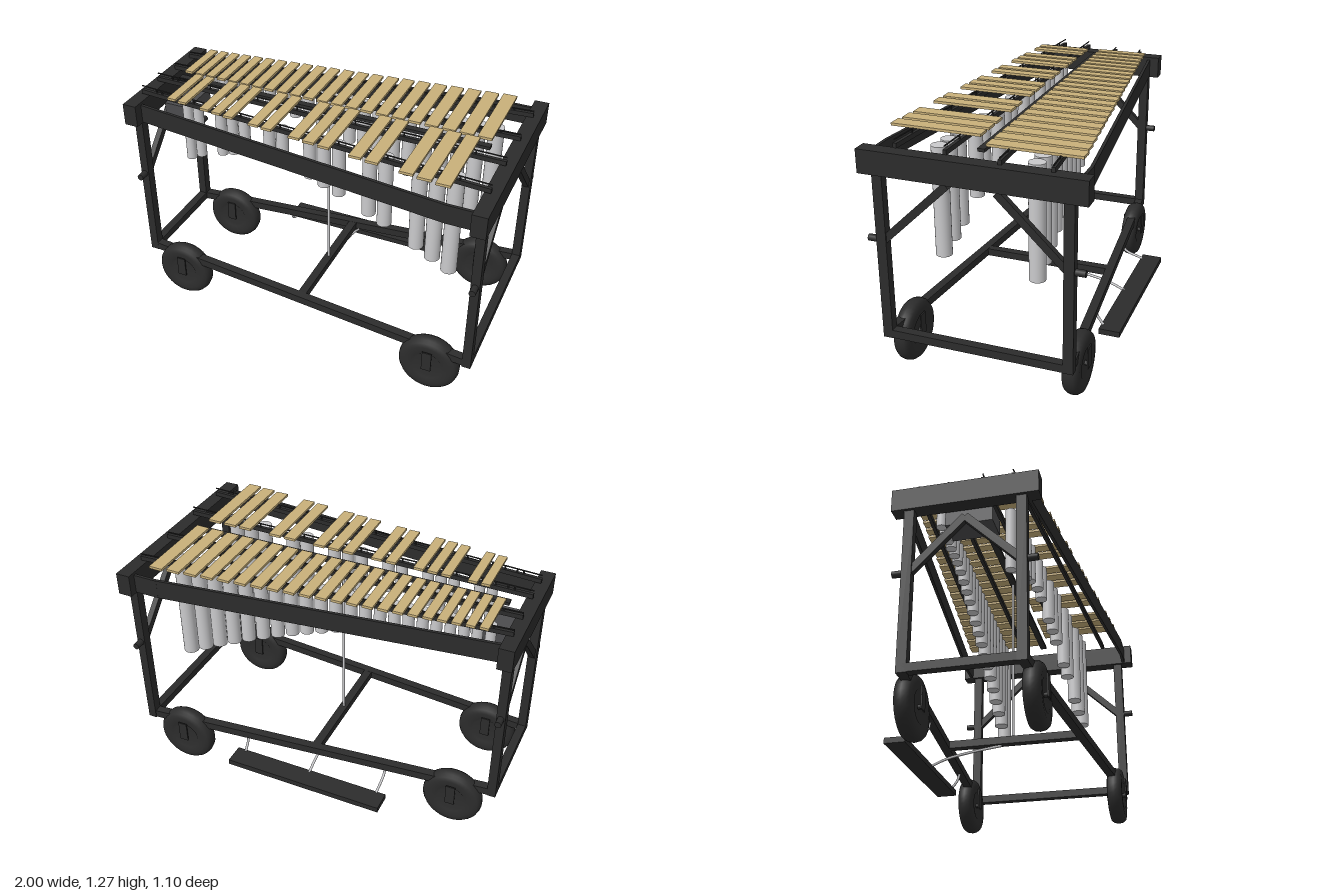
import * as THREE from 'three';

const mat = (name, color) => Object.assign(new THREE.MeshStandardMaterial({ color }), { name });

export function createModel() {
  const root = new THREE.Group();
  root.name = 'malletInstrument';
  const black = mat('blackFrame', 0x2c2c2c);
  const gold = mat('goldBars', 0xc8b07a);
  const silver = mat('silverTubes', 0xcacacc);
  const gray = mat('grayBox', 0x4c4c4e);

  const add = (name, geo, material, x = 0, y = 0, z = 0) => {
    const m = new THREE.Mesh(geo, material);
    m.name = name;
    m.position.set(x, y, z);
    root.add(m);
    return m;
  };
  const box = (name, w, h, d, material, x, y, z) =>
    add(name, new THREE.BoxGeometry(w, h, d), material, x, y, z);
  // Rectangular bar between two points
  const beam = (name, a, b, w, h, material = black) => {
    const p = new THREE.Vector3(...a), q = new THREE.Vector3(...b);
    const m = box(name, w, h, p.distanceTo(q), material, 0, 0, 0);
    m.position.copy(p).lerp(q, 0.5);
    m.lookAt(q);
    return m;
  };
  const rod = (name, points, r, material) => add(name, new THREE.TubeGeometry(
    new THREE.CatmullRomCurve3(points.map(p => new THREE.Vector3(...p))), 12, r, 10), material);
  const lerp = THREE.MathUtils.lerp;

  // End frames: low end (+x) is wide, high end (-x) is narrow
  const ends = [
    { x: 0.9625, legZ: 0.46, beamZ: 0.55, braceZ: 0.12, braceY: 1.085 },
    { x: -0.9625, legZ: 0.275, beamZ: 0.362, braceZ: 0.0, braceY: 1.03 },
  ];
  for (const e of ends) {
    box('endBeam', 0.075, 0.118, e.beamZ * 2, black, e.x, 1.156, 0);
    box('endBottomRail', 0.045, 0.042, e.legZ * 2, black, e.x, 0.265, 0);
    for (const s of [1, -1]) {
      box('leg', 0.045, 0.86, 0.05, black, e.x, 0.672, s * e.legZ);
      beam('brace', [e.x, 0.765, s * (e.legZ - 0.01)], [e.x, e.braceY, s * e.braceZ], 0.03, 0.038);
      add('braceKnob', new THREE.CylinderGeometry(0.017, 0.017, 0.05, 16).rotateX(Math.PI / 2),
        black, e.x, 0.762, s * (e.legZ + 0.049));
    }
  }
  const railZ = x => lerp(0.275, 0.46, (x + 0.96) / 1.92);

  // Wheel: rounded tyre with recessed hub
  const profile = [[0, -0.03], [0.07, -0.03], [0.082, -0.04], [0.12, -0.0425], [0.145, -0.038],
    [0.157, -0.022], [0.161, 0], [0.157, 0.022], [0.145, 0.038], [0.12, 0.0425], [0.082, 0.04],
    [0.07, 0.03], [0, 0.03]].map(p => new THREE.Vector2(...p));
  const wheelGeo = new THREE.LatheGeometry(profile, 36).rotateX(Math.PI / 2);
  for (const s of [1, -1]) {
    beam('sideBottomRail', [-0.96, 0.265, s * 0.275], [0.96, 0.265, s * 0.46], 0.045, 0.042);
    // Thin upper side boards with a bend near the low end
    beam('sideBoard', [-0.94, 1.15, s * 0.302], [0.8, 1.15, s * 0.5], 0.016, 0.1);
    beam('sideBoardEnd', [0.795, 1.15, s * 0.5], [0.94, 1.15, s * 0.5], 0.016, 0.1);
    for (const x of [-0.76, 0.76]) {
      const z = s * railZ(x);
      add('wheel', wheelGeo, black, x, 0.168, z);
      add('axle', new THREE.CylinderGeometry(0.012, 0.012, 0.1, 12).rotateX(Math.PI / 2), black, x, 0.168, z);
      for (const k of [-1, 1]) box('wheelFork', 0.05, 0.115, 0.007, black, x, 0.208, z + k * 0.052);
    }
  }

  // Bottom cross beam, damper rod and pedal
  box('crossBeam', 0.045, 0.04, railZ(0) * 2, black, 0, 0.265, 0);
  add('damperRod', new THREE.CylinderGeometry(0.007, 0.007, 0.94, 12), silver, 0, 0.74, 0);
  box('pedal', 0.88, 0.03, 0.11, black, 0, 0.15, -0.495);
  rod('pedalLever', [[0, 0.243, -0.06], [0, 0.225, -0.2], [0, 0.195, -0.36], [0, 0.155, -0.46]], 0.007, silver);
  for (const x of [-0.39, 0.39]) {
    const z = -railZ(x);
    rod('pedalArm', [[x, 0.25, z], [x, 0.205, z - 0.015], [x, 0.165, -0.45]], 0.007, silver);
  }
  box('damperBar', 1.72, 0.016, 0.036, black, -0.01, 1.225, 0);
  box('motorBox', 0.14, 0.085, 0.235, gray, -0.84, 1.077, 0);

  // Bar positions: 22 naturals whose spacing widens toward the low end
  const naturals = [-0.833];
  for (let i = 0; i < 21; i++) naturals.push(naturals[i] + lerp(0.064, 0.0925, i / 20));
  const sharpGaps = [1, 2, 4, 5, 6, 8, 9, 11, 12, 13, 15, 16, 18, 19, 20];
  const along = x => (x + 0.833) / 1.646;
  const tubeLength = x => Math.max(0.02, 0.155 + 0.33 * x + 0.11 * x * x);

  // One tone bar with the resonator tube below it
  const note = (x, s, y, length) => {
    const t = along(x), near = 0.022, far = lerp(0.297, 0.478, t), mid = s * (near + far) / 2;
    box(s > 0 ? 'sharpBar' : 'naturalBar', lerp(0.044, 0.072, t), 0.013, far - near, gold, x, y, mid);
    const r = lerp(0.026, 0.041, t), h = length + 0.09;
    add('resonator', new THREE.CylinderGeometry(r, r, h, 24), silver, x, 1.1 - length + h / 2, mid);
  };
  naturals.forEach(x => note(x, -1, 1.251, tubeLength(x)));
  const highTubes = [0.25, 0.215, 0.167, 0.14, 0.118];
  sharpGaps.forEach((g, i) => {
    const x = (naturals[g] + naturals[g + 1]) / 2;
    note(x, 1, 1.274, highTubes[i] ?? tubeLength(x));
  });

  // Bar support rails with posts and cords
  const supports = [
    [-0.24, -0.38, 1.226, 1.247], [-0.09, -0.135, 1.226, 1.247],
    [0.08, 0.125, 1.238, 1.268], [0.23, 0.37, 1.238, 1.268],
  ];
  for (const [z0, z1, y, cordY] of supports) {
    beam('barRail', [-0.96, y, z0], [0.96, y, z1], 0.018, 0.024);
    beam('barCord', [-0.96, cordY, z0], [0.96, cordY, z1], 0.005, 0.005);
    for (let i = -1; i < 22; i++) {
      const x = i < 0 ? -0.866 : i > 20 ? 0.86 : (naturals[i] + naturals[i + 1]) / 2;
      // Posts stand between bars: natural gaps at the back, natural centres at the front
      const px = z0 < 0 || i < 0 ? x : naturals[i];
      const z = lerp(z0, z1, (px + 0.96) / 1.92);
      add('cordPost', new THREE.CylinderGeometry(0.0045, 0.0045, cordY - y, 8), black, px, (y + cordY) / 2, z);
    }
  }
  return root;
}
